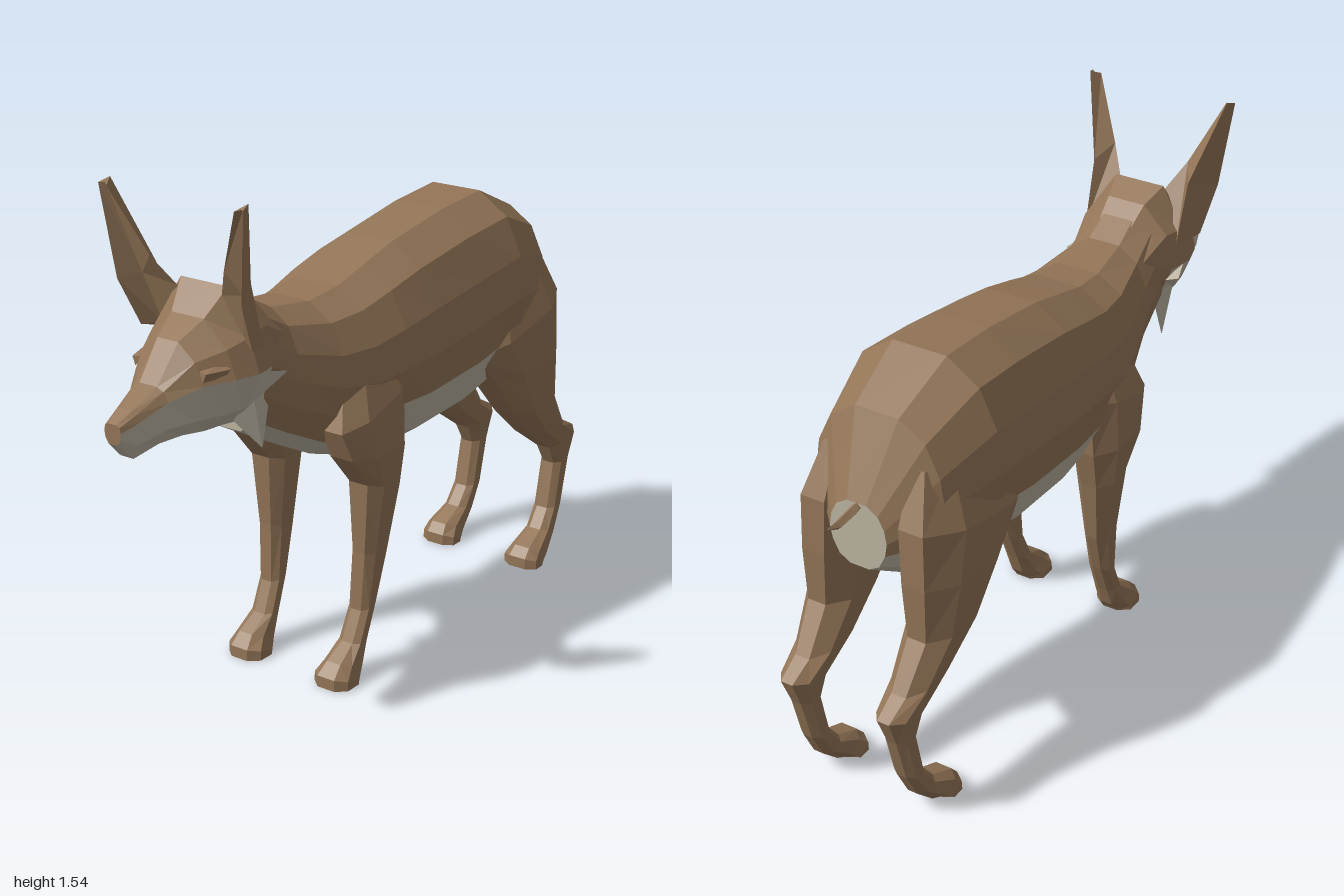
import * as THREE from 'three';

const fur = new THREE.MeshStandardMaterial({ color: 0x937557 });
fur.name = 'brown fur';
const cream = new THREE.MeshStandardMaterial({ color: 0xbdb5a3 });
cream.name = 'cream fur';
const materials = [fur, cream];

// Faceted skin through a list of equal-sized rings, capped at both ends.
// tint(span, side) gives 0 for fur or 1 for cream; spans -1 and rings.length - 1 are the caps.
function loft(name, rings, tint = () => 0) {
  const buckets = [[], []];
  const n = rings[0].length;
  let volume = 0;
  const tri = (k, a, b, c) => {
    buckets[k].push([a, b, c]);
    volume += a.dot(b.clone().cross(c));
  };
  const pts = rings.map(r => r.map(p => new THREE.Vector3(...p)));
  for (let i = 0; i < pts.length - 1; i++) {
    for (let j = 0; j < n; j++) {
      const k = (j + 1) % n;
      const [a, b, c, d] = [pts[i][j], pts[i][k], pts[i + 1][k], pts[i + 1][j]];
      tri(tint(i, j), a, b, c);
      tri(tint(i, j), a, c, d);
    }
  }
  for (const end of [0, pts.length - 1]) {
    const ring = pts[end];
    const mid = ring.reduce((s, p) => s.add(p), new THREE.Vector3()).divideScalar(n);
    for (let j = 0; j < n; j++) {
      const a = ring[j], b = ring[(j + 1) % n];
      if (end) tri(tint(end, j), mid, a, b);
      else tri(tint(-1, j), mid, b, a);
    }
  }
  // Keep all faces pointing outwards, mirrored parts included
  const flat = [];
  const geo = new THREE.BufferGeometry();
  buckets.forEach((tris, m) => {
    geo.addGroup(flat.length / 3, tris.length * 3, m);
    for (const [a, b, c] of tris) {
      for (const p of volume < 0 ? [a, c, b] : [a, b, c]) flat.push(p.x, p.y, p.z);
    }
  });
  geo.setAttribute('position', new THREE.Float32BufferAttribute(flat, 3));
  geo.computeVertexNormals();
  const mesh = new THREE.Mesh(geo, materials);
  mesh.name = name;
  return mesh;
}

// Full symmetric ring from a half outline listed bottom to top
const mirrorRing = (half, z) => [
  ...half.map(([x, y]) => [x, y, z]),
  ...half.slice().reverse().map(([x, y]) => [-x, y, z]),
];

// Torso and neck: z, top, bottom, half width
function torso() {
  const outline = [[0.33, 0], [0.7, 0.1], [0.92, 0.3], [1, 0.5], [0.93, 0.7], [0.72, 0.89], [0.33, 1]];
  const sections = [
    [-0.855, 0.97, 0.77, 0.09], [-0.75, 1.19, 0.71, 0.205], [-0.55, 1.28, 0.68, 0.255],
    [-0.35, 1.265, 0.63, 0.25], [-0.1, 1.225, 0.615, 0.245], [0.03, 1.19, 0.635, 0.24],
    [0.15, 1.155, 0.65, 0.225], [0.27, 1.14, 0.69, 0.2], [0.42, 1.16, 0.77, 0.155],
    [0.55, 1.23, 0.84, 0.14],
  ];
  const rings = sections.map(([z, top, low, w]) =>
    mirrorRing(outline.map(([x, y]) => [x * w, low + y * (top - low)]), z));
  return loft('torso', rings, (i, j) => {
    if (i < 0) return 1;
    const reach = i >= 5 ? 1 : 2;
    return j < reach || j >= 13 - reach ? 1 : 0;
  });
}

// Head and muzzle: z, then half outline of throat, jaw, cheek, brow, crown
function head() {
  const sections = [
    [0.45, [[0.04, 0.83], [0.09, 0.9], [0.13, 1.0], [0.12, 1.11], [0.05, 1.165]]],
    [0.55, [[0.04, 0.87], [0.12, 0.95], [0.16, 1.05], [0.14, 1.16], [0.06, 1.24]]],
    [0.63, [[0.05, 0.885], [0.13, 0.95], [0.18, 1.055], [0.15, 1.15], [0.08, 1.275]]],
    [0.7, [[0.05, 0.89], [0.12, 0.95], [0.16, 1.055], [0.13, 1.13], [0.055, 1.2]]],
    [0.78, [[0.04, 0.9], [0.09, 0.95], [0.115, 1.05], [0.09, 1.11], [0.035, 1.155]]],
    [0.86, [[0.03, 0.9], [0.06, 0.945], [0.066, 1.02], [0.05, 1.045], [0.03, 1.055]]],
    [0.95, [[0.022, 0.885], [0.04, 0.925], [0.042, 0.985], [0.034, 1.005], [0.022, 1.015]]],
    [1.0, [[0.015, 0.935], [0.025, 0.95], [0.028, 0.97], [0.024, 0.985], [0.015, 0.99]]],
  ];
  return loft('head', sections.map(([z, half]) => mirrorRing(half, z)),
    (i, j) => (i >= 1 && i < 7 && (j < 2 || j > 6) ? 1 : 0));
}

// Leg sections: front z, front y, back z, back y, inner x, outer x
const frontLegSections = [
  [0.24, 0.97, 0.03, 1.0, 0.08, 0.19], [0.31, 0.79, 0.0, 0.88, 0.1, 0.245],
  [0.27, 0.7, 0.01, 0.7, 0.1, 0.255], [0.19, 0.6, 0.04, 0.57, 0.115, 0.24],
  [0.18, 0.38, 0.075, 0.36, 0.13, 0.212], [0.185, 0.2, 0.12, 0.22, 0.13, 0.2],
  [0.225, 0.11, 0.165, 0.11, 0.125, 0.2], [0.29, 0.07, 0.19, 0.04, 0.115, 0.21],
  [0.325, 0.035, 0.215, 0.01, 0.1, 0.22], [0.325, 0, 0.22, 0, 0.1, 0.22],
];
const hindLegSections = [
  [-0.45, 1.0, -0.77, 1.07, 0.08, 0.19], [-0.37, 0.82, -0.84, 0.92, 0.06, 0.25],
  [-0.48, 0.71, -0.845, 0.75, 0.07, 0.25], [-0.6, 0.57, -0.84, 0.58, 0.09, 0.235],
  [-0.72, 0.465, -0.925, 0.45, 0.1, 0.215], [-0.85, 0.375, -1.0, 0.41, 0.11, 0.205],
  [-0.885, 0.31, -0.965, 0.32, 0.12, 0.195], [-0.855, 0.16, -0.925, 0.17, 0.12, 0.195],
  [-0.81, 0.1, -0.88, 0.08, 0.12, 0.2], [-0.73, 0.065, -0.82, 0.02, 0.11, 0.215],
  [-0.705, 0.035, -0.79, 0.005, 0.1, 0.22], [-0.705, 0, -0.785, 0, 0.1, 0.22],
];
const legOutline = [[0, 0.25], [0, 0.75], [0.25, 1], [0.75, 1], [1, 0.7], [1, 0.3], [0.75, 0], [0.25, 0]];

function leg(name, sections, side) {
  return loft(name, sections.map(([zf, yf, zb, yb, xi, xo]) => legOutline.map(([u, v]) =>
    [side * (xi + v * (xo - xi)), yf + u * (yb - yf), zf + u * (zb - zf)])));
}

// Ear rings: inner edge, hollow, outer edge, back
const earRings = [
  [[0.075, 1.255, 0.65], [0.14, 1.14, 0.64], [0.19, 1.13, 0.67], [0.155, 1.11, 0.58]],
  [[0.125, 1.34, 0.7], [0.17, 1.28, 0.68], [0.21, 1.27, 0.735], [0.16, 1.3, 0.635]],
  [[0.212, 1.525, 0.76], [0.225, 1.52, 0.745], [0.24, 1.53, 0.76], [0.23, 1.54, 0.725]],
];

// Cheek tufts: a triangular root and a pointed end
const spike = (root, tip) => [root, root.map(p => p.map((v, i) => tip[i] + (v - tip[i]) * 0.03))];
const upperTuft = spike([[0.16, 1.06, 0.64], [0.13, 0.95, 0.62], [0.13, 1.01, 0.54]], [0.195, 1.04, 0.53]);
const lowerTuft = spike([[0.14, 0.99, 0.61], [0.08, 0.9, 0.62], [0.12, 0.97, 0.51]], [0.13, 0.815, 0.56]);

// Small lid over each eye
const lid = [
  [[0.15, 1.085, 0.71], [0.14, 1.065, 0.72], [0.12, 1.1, 0.71]],
  [[0.125, 1.085, 0.78], [0.115, 1.06, 0.78], [0.09, 1.09, 0.775]],
];

// Tail: z, y, half width, half height
function tail() {
  const sections = [
    [-0.82, 0.965, 0.012, 0.012], [-0.88, 0.955, 0.015, 0.012],
    [-0.94, 0.95, 0.013, 0.012], [-0.98, 0.962, 0.003, 0.003],
  ];
  return loft('tail', sections.map(([z, y, w, h]) =>
    [[w, y, z], [0, y + h, z], [-w, y, z], [0, y - h, z]]));
}

export function createModel() {
  const model = new THREE.Group();
  model.name = 'fox';
  model.add(torso(), head(), tail());
  for (const [label, s] of [['left', 1], ['right', -1]]) {
    const flip = rings => rings.map(r => r.map(([x, y, z]) => [s * x, y, z]));
    model.add(
      leg(`${label}FrontLeg`, frontLegSections, s),
      leg(`${label}HindLeg`, hindLegSections, s),
      loft(`${label}Ear`, flip(earRings)),
      loft(`${label}UpperCheekTuft`, flip(upperTuft), () => 1),
      loft(`${label}LowerCheekTuft`, flip(lowerTuft), () => 1),
      loft(`${label}Eyelid`, flip(lid)),
    );
  }
  return model;
}
